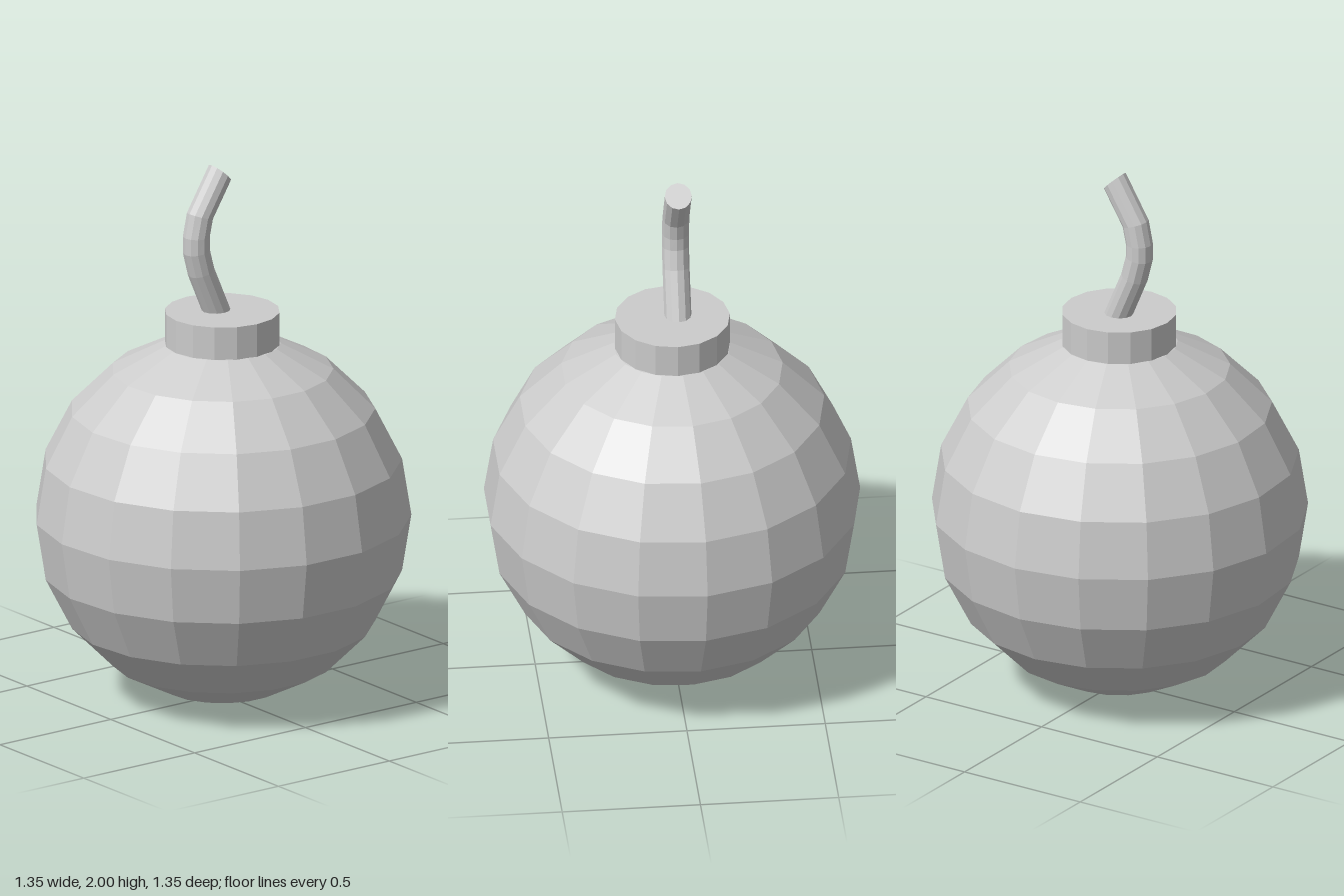
import * as THREE from 'three';

const material = new THREE.MeshStandardMaterial({ color: 0xcccccc, flatShading: true });

function addPart(group, name, geometry) {
  const mesh = new THREE.Mesh(geometry, material);
  mesh.name = name;
  group.add(mesh);
  return mesh;
}

// Bends a straight cylinder: each row moves to a path stop [x, y, lean in degrees toward +x]
function bentRod(radius, sides, stops) {
  const rows = stops.length - 1;
  const geometry = new THREE.CylinderGeometry(radius, radius, 1, sides, rows);
  const pos = geometry.attributes.position;
  for (let i = 0; i < pos.count; i++) {
    const [x, y, lean] = stops[Math.round((pos.getY(i) + 0.5) * rows)];
    const a = THREE.MathUtils.degToRad(lean);
    const offset = pos.getX(i);
    pos.setX(i, x + offset * Math.cos(a));
    pos.setY(i, y - offset * Math.sin(a));
  }
  geometry.computeVertexNormals();
  return geometry;
}

export function createModel() {
  const group = new THREE.Group();
  group.name = 'roundBomb';

  // Faceted ball with a vertex column at the back
  const body = addPart(group, 'body', new THREE.SphereGeometry(0.68, 17, 10).rotateY(-Math.PI / 2));
  body.position.set(0, 0.683, 0.005);

  // Short collar on top of the ball
  const neck = addPart(group, 'neck', new THREE.CylinderGeometry(0.208, 0.208, 0.125, 16));
  neck.position.set(0, 1.39, 0.004);

  // Curved fuse, its foot sunk into the collar
  const fuse = addPart(group, 'fuse', bentRod(0.049, 12, [
    [0.015, 1.39, -23],
    [-0.08, 1.61, -17],
    [-0.101, 1.69, -8],
    [-0.101, 1.745, 2],
    [-0.085, 1.82, 18],
    [0.005, 1.966, 44],
  ]));
  fuse.position.z = -0.017;

  return group;
}
